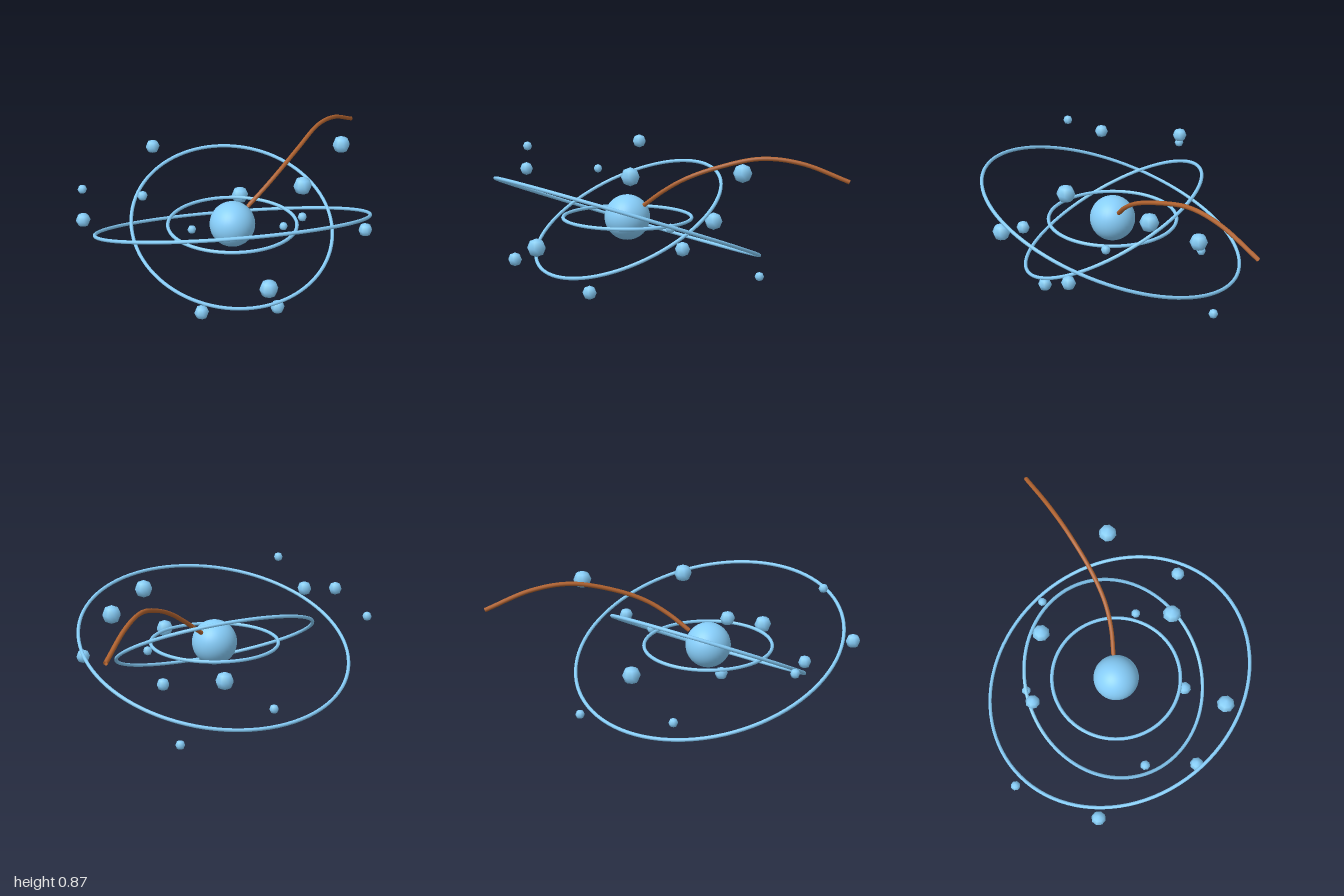
import * as THREE from 'three';

export function createModel() {
  const model = new THREE.Group();
  const blue = new THREE.MeshStandardMaterial({ color: 0x87cefa });
  const brown = new THREE.MeshStandardMaterial({ color: 0xb0622f, side: THREE.DoubleSide });
  const centre = new THREE.Vector3(-0.03, 0.428, 0.047);

  const add = (name, geometry, material, position = new THREE.Vector3()) => {
    const mesh = new THREE.Mesh(geometry, material);
    mesh.name = name;
    mesh.position.copy(position);
    model.add(mesh);
    return mesh;
  };

  // Central ball
  add('core', new THREE.SphereGeometry(0.14, 32, 32), blue, centre);

  // Three rings sharing the centre: radius, tilt about x
  [[0.395, 0], [0.618, 0.5], [0.842, -0.35]].forEach(([radius, tilt], i) => {
    const ring = new THREE.TorusGeometry(radius, 0.011, 8, 96).rotateX(Math.PI / 2);
    add(`ring${i + 1}`, ring, blue, centre).rotation.x = tilt;
  });

  // Floating low-poly orbs in three sizes: x, y, z
  const orbs = {
    small: [0.029, [[-0.632, 0.828, 0.394], [-0.898, 0.589, -0.314], [0.413, 0.428, 0.045],
      [-0.178, 0.15, -0.501], [0.466, 0.06, -0.6]]],
    medium: [0.043, [[-0.448, 0.824, -0.338], [-0.957, 0.627, 0.211], [0.766, 0.386, 0.222],
      [-0.35, 0.182, 0.661], [0.157, 0.044, 0.45]]],
    large: [0.056, [[0.343, 0.749, 0.285], [0.736, 0.772, -0.233], [0.141, 0.369, -0.493],
      [0.029, 0.329, 0.735]]],
  };
  for (const [size, [radius, places]] of Object.entries(orbs)) {
    const geometry = new THREE.SphereGeometry(radius, 8, 4);
    places.forEach((p, i) => add(`${size}Orb${i + 1}`, geometry, blue, new THREE.Vector3(...p)));
  }

  // Curved tail rising from the core and sweeping out to the back
  const path = new THREE.CatmullRomCurve3([
    [0.078, 0.513, -0.002], [0.2, 0.608, -0.052], [0.32, 0.692, -0.125], [0.46, 0.766, -0.25],
    [0.64, 0.827, -0.45], [0.8, 0.802, -0.63], [0.988, 0.697, -0.84],
  ].map((p) => new THREE.Vector3(...p)));
  add('tail', new THREE.TubeGeometry(path, 48, 0.0135, 8), brown);

  return model;
}
